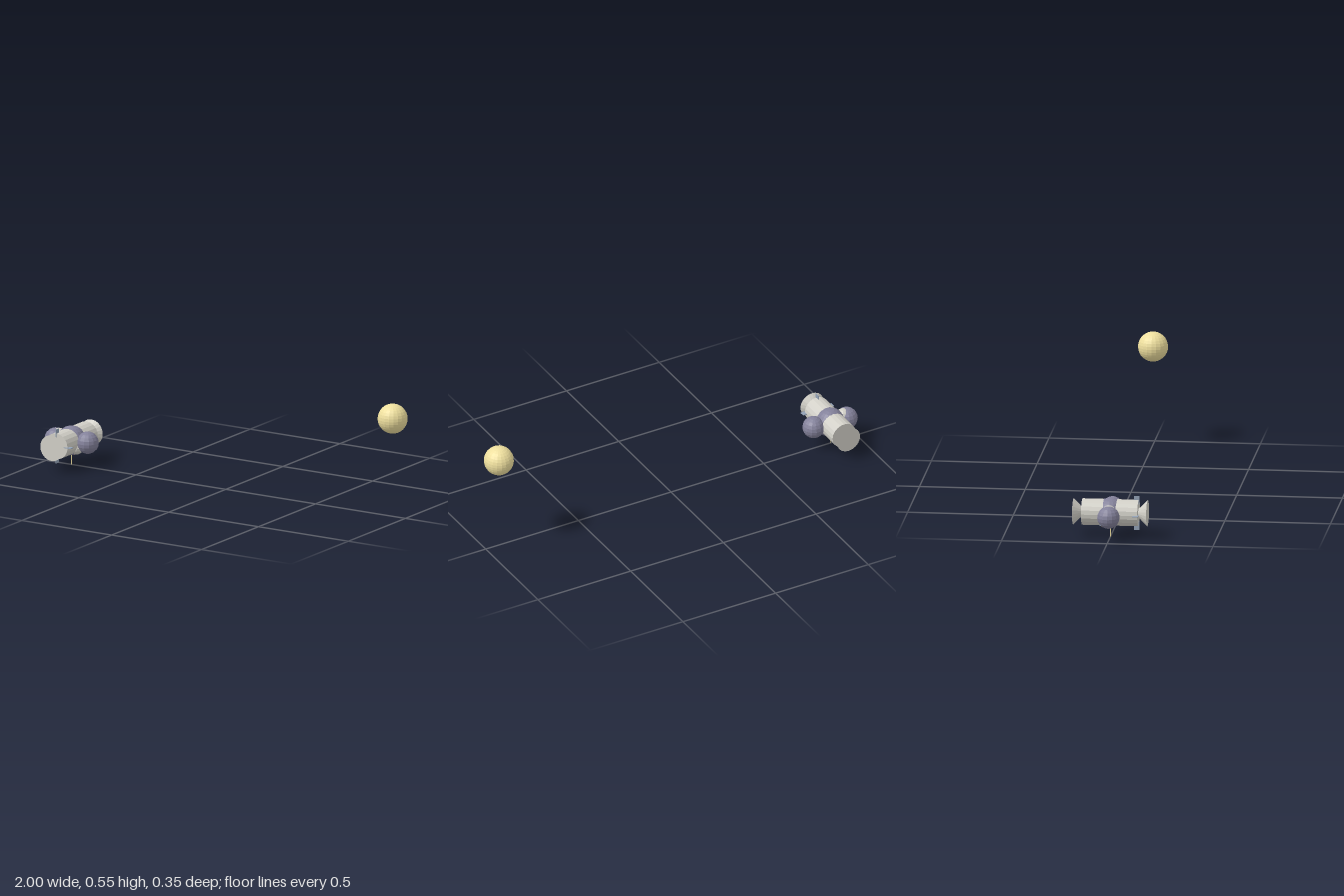
import * as THREE from 'three';

const material = (color) => new THREE.MeshStandardMaterial({ color, flatShading: true });

export function createModel() {
  const model = new THREE.Group();
  const grey = material(0xd2d0c8);
  const slate = material(0x83819a);
  const blue = material(0x93a2b6);
  const yellow = material(0xeedf9e);
  const tan = material(0xd2a46c);

  const add = (parent, name, geometry, mat, x = 0, y = 0, z = 0) => {
    const mesh = new THREE.Mesh(geometry, mat);
    mesh.name = name;
    mesh.position.set(x, y, z);
    parent.add(mesh);
    return mesh;
  };

  // Distant sphere
  add(model, 'distantSphere', new THREE.SphereGeometry(0.071, 20, 16), yellow, 0.929, 0.475, 0);

  // Spacecraft, lying along z
  const craft = new THREE.Group();
  craft.name = 'spacecraft';
  craft.position.set(-0.859, 0.1175, 0);
  model.add(craft);

  const hull = add(craft, 'hull', new THREE.CylinderGeometry(0.0625, 0.0625, 0.266, 20), grey);
  hull.rotation.x = Math.PI / 2;

  // Flared cones with closed ends, their tips sunk in the hull
  for (const side of [1, -1]) {
    const cone = add(craft, side > 0 ? 'frontCone' : 'rearCone',
      new THREE.ConeGeometry(0.0625, 0.0625, 20), grey, 0, 0, side * 0.144);
    cone.rotation.x = -side * Math.PI / 2;
  }

  // Central sphere bulging through the hull, and side tanks
  add(craft, 'centralSphere', new THREE.SphereGeometry(0.07, 16, 12), slate);
  add(craft, 'leftTank', new THREE.SphereGeometry(0.053, 14, 10), slate, 0.09, 0.001, 0);
  add(craft, 'rightTank', new THREE.SphereGeometry(0.053, 14, 10), slate, -0.088, -0.004, 0);

  // Pale pods nestled between hull and tanks
  add(craft, 'leftPod', new THREE.SphereGeometry(0.033, 12, 8), grey, 0.042, -0.025, 0.02);
  add(craft, 'rightPod', new THREE.SphereGeometry(0.036, 12, 8), grey, -0.07, 0.014, 0);

  // Four radial fins near the front
  for (let i = 0; i < 4; i++) {
    const angle = i * Math.PI / 2;
    const fin = add(craft, 'fin', new THREE.BoxGeometry(0.04, 0.003, 0.026), blue,
      Math.cos(angle) * 0.0625, Math.sin(angle) * 0.0625, 0.125);
    fin.rotation.z = angle;
  }

  // Belly antenna and equipment
  add(craft, 'antenna', new THREE.CylinderGeometry(0.0022, 0.0022, 0.06, 8), yellow, 0, -0.0875, 0);
  add(craft, 'bellyBox', new THREE.BoxGeometry(0.03, 0.014, 0.036), tan, 0, -0.063, -0.024);
  add(craft, 'bellySensor', new THREE.BoxGeometry(0.05, 0.005, 0.02), blue, 0, -0.0585, -0.04);

  return model;
}
